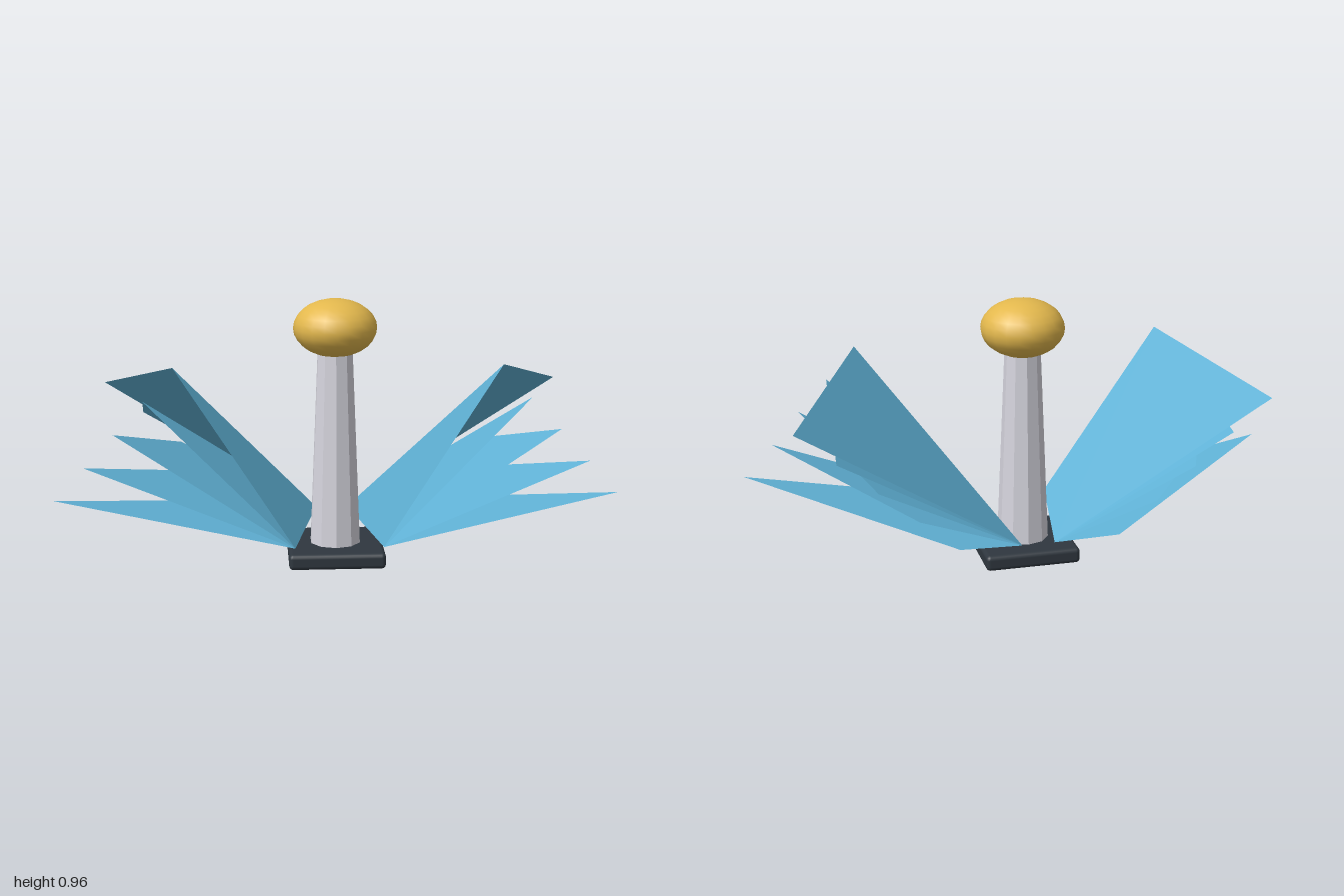
import * as THREE from 'three';
import { RoundedBoxGeometry } from 'three/addons/geometries/RoundedBoxGeometry.js';

const mat = (name, color, side = THREE.FrontSide) => {
  const m = new THREE.MeshStandardMaterial({ color, side });
  m.name = name;
  return m;
};

// Leaf with four corners: inner edge a-b, outer edge d-c, folded along b-d, evenly shaded
function leafGeometry(a, b, c, d) {
  const n = new THREE.Vector3().subVectors(c, a).cross(new THREE.Vector3().subVectors(d, b)).normalize();
  const flip = n.y < 0;
  if (flip) n.negate();
  const corners = [a, b, c, d];
  const g = new THREE.BufferGeometry();
  g.setAttribute('position', new THREE.Float32BufferAttribute(corners.flatMap(p => p.toArray()), 3));
  g.setAttribute('normal', new THREE.Float32BufferAttribute(corners.flatMap(() => n.toArray()), 3));
  // the order of corners keeps the front of the leaf on its upper face
  g.setIndex(flip ? [0, 3, 1, 1, 3, 2] : [0, 1, 3, 1, 2, 3]);
  return g;
}

export function createModel() {
  const model = new THREE.Group();
  model.name = 'wingedColumn';
  const dark = mat('dark slate', 0x2f373f);
  const grey = mat('pale grey', 0xd6d5de);
  const gold = mat('gold', 0xe3b84d);
  const blue = mat('sky blue', 0x60b2d6, THREE.DoubleSide);

  const add = (name, geometry, material, x, y, z, parent = model) => {
    const mesh = new THREE.Mesh(geometry, material);
    mesh.name = name;
    mesh.position.set(x, y, z);
    parent.add(mesh);
  };

  // Plinth
  add('base', new RoundedBoxGeometry(0.352, 0.058, 0.352, 2, 0.016), dark, 0, 0.029, -0.005);

  // Ten-sided tapering column with flat faces
  const column = new THREE.CylinderGeometry(0.065, 0.095, 0.74, 10).toNonIndexed();
  column.computeVertexNormals();
  add('column', column, grey, 0, 0.42, -0.005);

  // Flattened ball on top
  const ball = new THREE.SphereGeometry(0.152, 20, 14);
  ball.scale(1, 0.69, 1);
  add('topBall', ball, gold, 0, 0.86, -0.005);

  // Five leaves fanned out on each side, all hinged on the same low edge
  for (const s of [1, -1]) {
    const wing = new THREE.Group();
    wing.name = s > 0 ? 'leftWing' : 'rightWing';
    const v = (x, y, z) => new THREE.Vector3(s * x, y, z);
    for (let i = 0; i < 5; i++) {
      const leaf = leafGeometry(
        v(0.157, 0.12, 0.276),
        v(0.06, 0.12, -0.242),
        v(0.856 - 0.141 * i, 0.613 - 0.118 * i, -0.276),
        v(0.576 + 0.106 * i, 0.765 - 0.1175 * i, 0.229));
      add('leaf' + (i + 1), leaf, blue, 0, 0, 0, wing);
    }
    model.add(wing);
  }
  return model;
}
